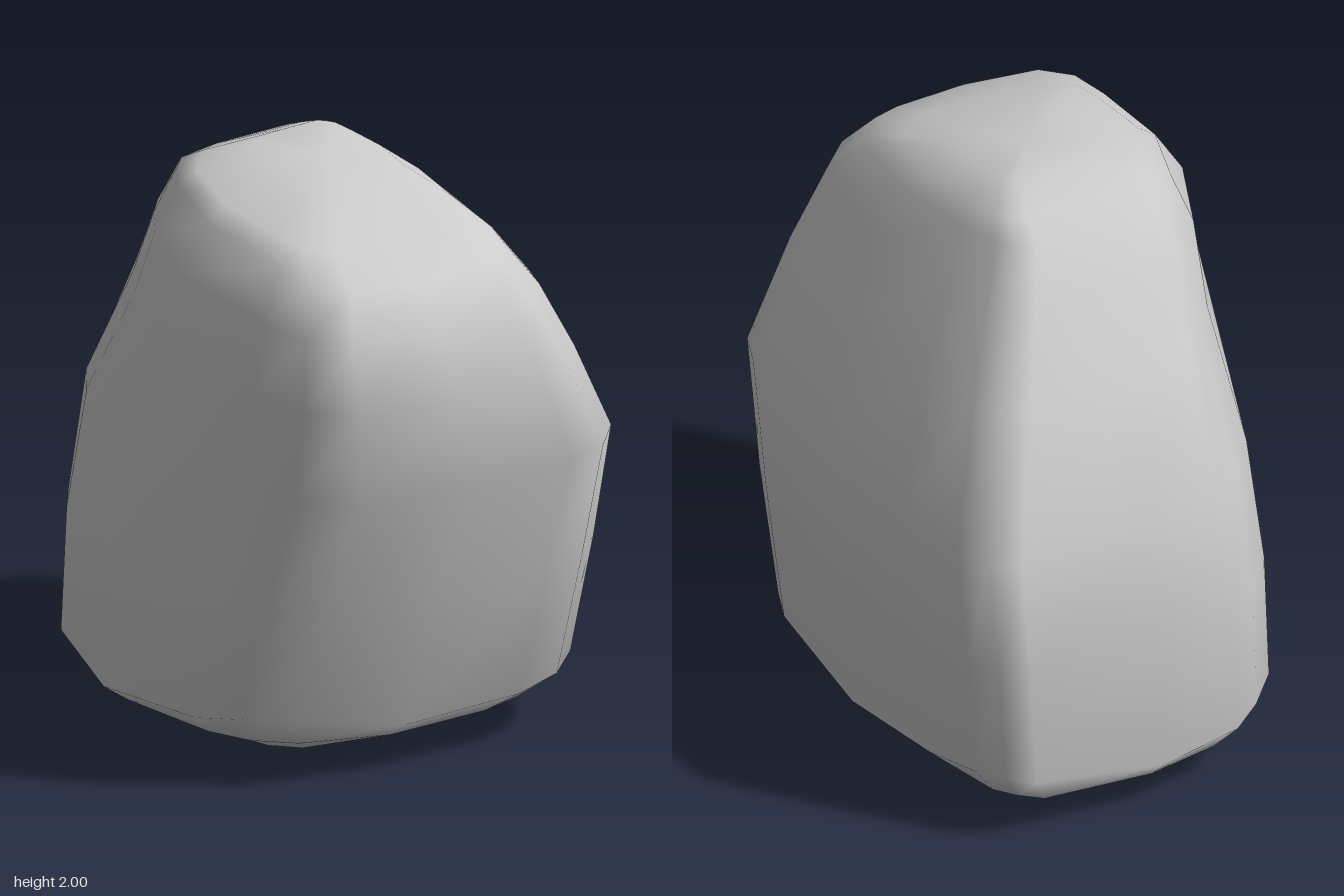
import * as THREE from 'three';

// Outline of a horizontal slice in unit space [x, z], front right round to back right
const OUTLINE = [
  [-0.99, 0.46], [-0.9, 0.63], [-0.73, 0.81], [-0.18, 1], [0.45, 1], [0.74, 0.97], [0.92, 0.79],
  [1, 0.21], [0.98, -0.38], [0.93, -0.6], [0.77, -0.81], [0.62, -0.89], [0.06, -1],
  [-0.5, -0.95], [-0.82, -0.9], [-0.925, -0.81], [-1, -0.69], [-1, 0],
];

// Slices from bottom to top: low x, its y, high x, its y, back z, front z,
// then front right corner cut, back left corner push and lift of all corners
const SLICES = [
  [-0.69, 0.02, 0.3, 0.02, -0.4, 0.4, 0.04, 0.07, 0],
  [-0.88, 0.09, 0.5, 0.09, -0.57, 0.6, 0.05, 0.09, 0.06],
  [-0.95, 0.16, 0.62, 0.16, -0.67, 0.71, 0.05, 0.11, 0.16],
  [-0.94, 0.65, 0.76, 0.65, -0.69, 0.71, 0.05, 0.09, 0],
  [-0.91, 1.07, 0.93, 1.07, -0.71, 0.71, 0.09, 0.03, 0],
  [-0.69, 1.48, 0.945, 1.38, -0.53, 0.71, 0.15, 0.01, 0],
  [-0.51, 1.735, 0.92, 1.62, -0.38, 0.7, 0.12, 0, 0],
  [-0.39, 1.9, 0.79, 1.76, -0.28, 0.59, 0.06, 0, 0],
  [-0.28, 1.945, 0.6, 1.835, -0.23, 0.51, 0.02, 0, 0],
  [-0.14, 2.0, 0.33, 1.94, -0.13, 0.29, 0, 0, 0],
];

function boulderGeometry() {
  const { lerp } = THREE.MathUtils;
  const n = OUTLINE.length;
  const positions = [];
  const indices = [];

  for (const [xl, yl, xr, yr, zb, zf, cut, push, lift] of SLICES) {
    for (const [u, v] of OUTLINE) {
      const s = (u + 1) / 2;
      const shift = cut * Math.max(0, -u) * Math.max(0, v) + push * Math.max(0, u) * Math.max(0, -v);
      positions.push(
        lerp(xl, xr, s) + shift,
        lerp(yl, yr, s) + lift * u * u * v * v,
        lerp(zb, zf, (v + 1) / 2) - shift,
      );
    }
  }

  // Wall between neighbouring slices
  for (let i = 0; i < SLICES.length - 1; i++) {
    for (let j = 0; j < n; j++) {
      const k = (j + 1) % n;
      const a = i * n + j, b = i * n + k;
      indices.push(a, b, b + n, a, b + n, a + n);
    }
  }

  // Slightly domed bottom and sloping top
  const bottom = SLICES.length * n;
  const top = bottom + 1;
  positions.push(-0.2, 0, 0, 0.08, 1.975, 0.08);
  const last = (SLICES.length - 1) * n;
  for (let j = 0; j < n; j++) {
    const k = (j + 1) % n;
    indices.push(k, j, bottom, last + j, last + k, top);
  }

  const geometry = new THREE.BufferGeometry();
  geometry.setAttribute('position', new THREE.Float32BufferAttribute(positions, 3));
  geometry.setIndex(indices);
  geometry.computeVertexNormals();
  return geometry;
}

export function createModel() {
  const group = new THREE.Group();
  group.name = 'rock';
  const boulder = new THREE.Mesh(boulderGeometry(), new THREE.MeshStandardMaterial({ color: 0xcccccc }));
  boulder.name = 'boulder';
  group.add(boulder);
  return group;
}
